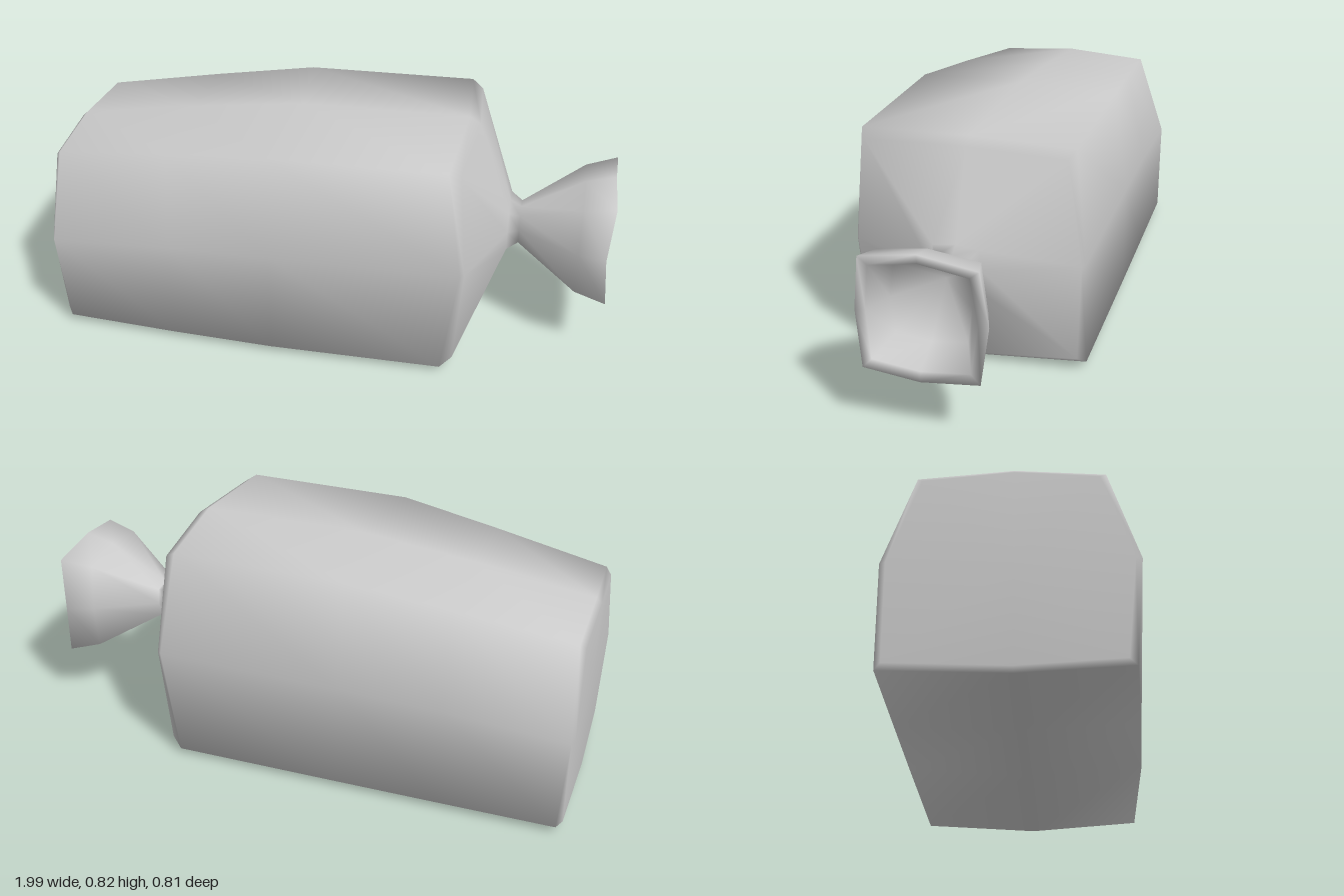
import * as THREE from 'three';

// Eight-point ring in the order: front, top front, top, top back, back, bottom back, bottom, bottom front.
// x: [sides, corners, top and bottom]; y: [bottom, side, top]; z: [front, back];
// c: corner z [top front, top back, bottom front, bottom back]; d: corner drop from top and bottom.
function ring({ x, y, z, c, d = 0.02 }) {
  const [xs, xc, xm] = x;
  const [y0, ym, y1] = y;
  return [
    [xs, ym, z[0]], [xc, y1 - d, c[0]], [xm, y1, 0], [xc, y1 - d, c[1]],
    [xs, ym, z[1]], [xc, y0 + d, c[3]], [xm, y0, 0], [xc, y0 + d, c[2]],
  ];
}

// Near-regular ring for the tied neck and its flared mouth
function neckRing(x, cy, ry, rz, dip = 0, cz = 0) {
  const k = 0.89 * rz;
  return ring({
    x: [x - dip, x, x - dip * 0.4], y: [cy - ry, cy, cy + ry],
    z: [cz + rz, cz - rz], c: [cz + k, cz - k, cz + k, cz - k], d: ry * 0.12,
  });
}

// Smooth closed shell through a list of rings, with a centre point at each end
function loft(rings, startCentre, endCentre) {
  const n = 8, pos = rings.flat(2), index = [];
  const start = rings.length * n, end = start + 1;
  pos.push(...startCentre, ...endCentre);
  for (let j = 0; j < n; j++) {
    const k = (j + 1) % n, last = (rings.length - 1) * n;
    index.push(start, j, k, end, last + k, last + j);
    for (let i = 0; i < rings.length - 1; i++) {
      const a = i * n + j, b = i * n + k;
      index.push(a, a + n, b, b, a + n, b + n);
    }
  }
  const g = new THREE.BufferGeometry();
  g.setAttribute('position', new THREE.Float32BufferAttribute(pos, 3));
  g.setIndex(index);
  g.computeVertexNormals();
  return g;
}

export function createModel() {
  const group = new THREE.Group();
  group.name = 'sack';

  const rings = [
    // bevelled base of the sack
    ring({ x: [-0.995, -0.985, -0.99], y: [0.02, 0.37, 0.685], z: [0.365, -0.385], c: [0.265, -0.285, 0.335, -0.385] }),
    ring({ x: [-0.985, -0.965, -0.97], y: [0.005, 0.37, 0.705], z: [0.385, -0.405], c: [0.285, -0.302, 0.36, -0.407] }),
    // sloping, then full body
    ring({ x: [-0.55, -0.55, -0.55], y: [0.003, 0.4, 0.768], z: [0.397, -0.405], c: [0.34, -0.33, 0.385, -0.407] }),
    ring({ x: [-0.18, -0.18, -0.14], y: [0.002, 0.41, 0.818], z: [0.405, -0.405], c: [0.39, -0.355, 0.4, -0.407] }),
    // bevelled shoulder
    ring({ x: [0.49, 0.435, 0.46], y: [0, 0.42, 0.825], z: [0.405, -0.405], c: [0.392, -0.355, 0.395, -0.405] }),
    ring({ x: [0.505, 0.475, 0.5], y: [0.03, 0.42, 0.8], z: [0.395, -0.395], c: [0.37, -0.335, 0.37, -0.38] }),
    // tied neck
    neckRing(0.625, 0.42, 0.085, 0.09),
    neckRing(0.665, 0.42, 0.063, 0.065),
    // flared mouth
    neckRing(0.88, 0.42, 0.19, 0.19),
    neckRing(0.992, 0.42, 0.22, 0.217, 0.016, -0.006),
    // rim and hollow inside
    neckRing(0.985, 0.42, 0.186, 0.182, 0.016, -0.004),
    neckRing(0.87, 0.42, 0.14, 0.135),
  ];

  const mesh = new THREE.Mesh(
    loft(rings, [-0.99, 0.36, 0], [0.72, 0.43, 0]),
    new THREE.MeshStandardMaterial({ color: 0xcccccc }),
  );
  mesh.name = 'sackBodyAndNeck';
  group.add(mesh);
  return group;
}
